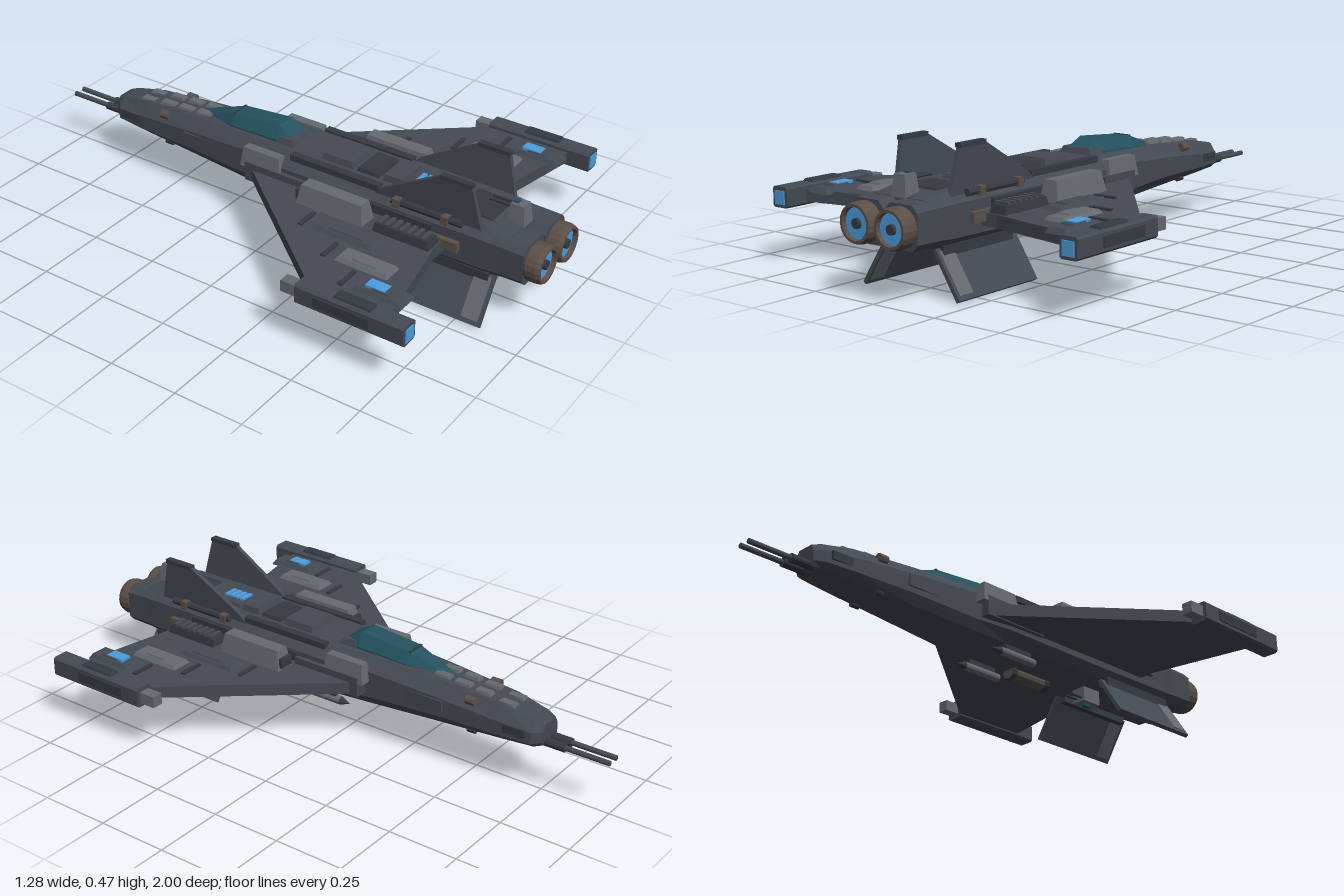
import * as THREE from 'three';

const mat = (color) => new THREE.MeshStandardMaterial({ color, flatShading: true });
const HULL = mat(0x444a53), DARK = mat(0x353a42), LIGHT = mat(0x656a70);
const GLASS = mat(0x24525f), GLOW = mat(0x4a9fe0), BROWN = mat(0x5b5048);

export function createModel() {
  const model = new THREE.Group();

  const add = (name, geo, m = HULL) => {
    const mesh = new THREE.Mesh(geo, m);
    mesh.name = name;
    model.add(mesh);
    return mesh;
  };
  // box given by its extents on each axis
  const box = (name, x0, x1, y0, y1, z0, z1, m) => {
    const mesh = add(name, new THREE.BoxGeometry(Math.abs(x1 - x0), y1 - y0, z1 - z0), m);
    mesh.position.set((x0 + x1) / 2, (y0 + y1) / 2, (z0 + z1) / 2);
    return mesh;
  };
  // cylinder along z
  const rod = (name, x, y, z0, z1, r0, r1 = r0, m = HULL, sides = 12) => {
    const geo = new THREE.CylinderGeometry(r1, r0, z1 - z0, sides).rotateX(Math.PI / 2);
    const mesh = add(name, geo, m);
    mesh.position.set(x, y, (z0 + z1) / 2);
    return mesh;
  };
  // plate with bevelled top edges: a loft through two inset levels
  const plate = (name, x0, x1, y0, y1, z0, z1, m, inset = 0.012) => {
    const geo = new THREE.BoxGeometry(Math.abs(x1 - x0), y1 - y0, z1 - z0);
    const p = geo.attributes.position;
    for (let i = 0; i < p.count; i++) {
      if (p.getY(i) < 0) continue;
      p.setX(i, p.getX(i) - Math.sign(p.getX(i)) * inset);
      p.setZ(i, p.getZ(i) - Math.sign(p.getZ(i)) * inset);
    }
    const mesh = add(name, geo, m);
    mesh.position.set((x0 + x1) / 2, (y0 + y1) / 2, (z0 + z1) / 2);
    return mesh;
  };
  // eight-sided loft; section = [z, halfWidth, bottom, top, bottomHalfWidth, topHalfWidth, lowY, highY]
  const loft = (name, sections, m, cx = 0) => {
    const pos = [], idx = [], n = 8;
    for (const [z, w, b, t, bw, tw, lo, hi] of sections) {
      const ring = [[-bw, b], [bw, b], [w, lo], [w, hi], [tw, t], [-tw, t], [-w, hi], [-w, lo]];
      for (const [x, y] of ring) pos.push(x + cx, y, z);
    }
    const last = (sections.length - 1) * n;
    for (let i = 0; i < last; i += n) {
      for (let j = 0; j < n; j++) {
        const k = (j + 1) % n;
        idx.push(i + j, i + k, i + n + k, i + j, i + n + k, i + n + j);
      }
    }
    for (let j = 1; j < n - 1; j++) idx.push(0, j + 1, j, last, last + j, last + j + 1);
    const geo = new THREE.BufferGeometry();
    geo.setAttribute('position', new THREE.Float32BufferAttribute(pos, 3));
    geo.setIndex(idx);
    const flat = geo.toNonIndexed();
    flat.computeVertexNormals();
    return add(name, flat, m);
  };
  const outline = (pts) => new THREE.Shape(pts.map(([a, b]) => new THREE.Vector2(a, b)));

  // fuselage from the nose back to the engine block
  loft('fuselage', [
    [-0.77, 0.045, 0.19, 0.265, 0.035, 0.03, 0.205, 0.24],
    [-0.74, 0.072, 0.182, 0.275, 0.05, 0.04, 0.2, 0.24],
    [-0.62, 0.084, 0.177, 0.298, 0.06, 0.05, 0.2, 0.25],
    [-0.38, 0.098, 0.168, 0.315, 0.075, 0.06, 0.2, 0.27],
    [-0.13, 0.112, 0.157, 0.325, 0.09, 0.075, 0.19, 0.285],
    [0.02, 0.135, 0.152, 0.328, 0.1, 0.09, 0.185, 0.285],
    [0.45, 0.14, 0.15, 0.328, 0.11, 0.105, 0.18, 0.29],
    [0.8, 0.138, 0.155, 0.325, 0.11, 0.105, 0.185, 0.29],
    [0.88, 0.135, 0.165, 0.312, 0.11, 0.105, 0.19, 0.285],
  ]);

  // canopy with its frame
  loft('canopy', [
    [-0.4, 0.018, 0.29, 0.312, 0.018, 0.012, 0.3, 0.308],
    [-0.24, 0.056, 0.3, 0.362, 0.056, 0.034, 0.31, 0.325],
    [-0.05, 0.062, 0.31, 0.378, 0.062, 0.036, 0.32, 0.335],
    [0.015, 0.052, 0.31, 0.345, 0.052, 0.04, 0.32, 0.33],
  ], GLASS);
  box('canopyFrame', -0.035, 0.035, 0.32, 0.364, -0.248, -0.24, DARK);
  plate('canopyBase', -0.07, 0.07, 0.315, 0.35, -0.05, 0.03, HULL);

  // dorsal spine
  plate('dorsalPanel', -0.068, 0.068, 0.32, 0.35, 0.14, 0.27, HULL, 0.008);
  plate('dorsalPanel', -0.066, 0.066, 0.32, 0.342, 0.28, 0.37, DARK, 0.006);
  plate('dorsalPanel', -0.066, 0.066, 0.32, 0.35, 0.38, 0.46, HULL, 0.006);
  plate('ventFrame', -0.06, 0.06, 0.32, 0.34, 0.47, 0.63, HULL, 0.006);
  for (let i = 0; i < 4; i++) {
    box('glowVent', -0.026, 0.026, 0.335, 0.347, 0.485 + i * 0.023, 0.5 + i * 0.023, GLOW);
  }
  plate('rearDeck', -0.075, 0.075, 0.31, 0.332, 0.66, 0.8, DARK, 0.008);

  // rear turret
  rod('turretBase', 0, 0.335, 0.84, 0.87, 0.025);
  plate('turret', -0.03, 0.03, 0.31, 0.38, 0.82, 0.885, LIGHT, 0.008);
  box('turretSight', -0.01, 0.01, 0.376, 0.386, 0.83, 0.85, GLASS);

  // belly turret and the offset tank
  box('bellyTurret', -0.028, 0.028, 0.097, 0.155, 0.48, 0.56, LIGHT);
  box('bellySensor', -0.01, 0.01, 0.088, 0.098, 0.5, 0.53, GLASS);
  rod('bellyTank', 0.055, 0.143, 0.18, 0.36, 0.025, 0.025, BROWN);
  for (const z of [0.18, 0.34]) rod('tankBand', 0.055, 0.143, z, z + 0.02, 0.028, 0.028, DARK);

  for (const s of [-1, 1]) {
    // nose guns
    rod('gunBarrel', s * 0.021, 0.198, -1, -0.75, 0.009);
    rod('gunSleeve', s * 0.021, 0.198, -0.84, -0.75, 0.015, 0.015, DARK);
    // nose panels and sensors
    for (const [z, y] of [[-0.66, 0.284], [-0.57, 0.296], [-0.49, 0.302], [-0.41, 0.307]]) {
      plate('nosePanel', s * 0.01, s * 0.046, y, y + 0.016, z, z + 0.065, LIGHT, 0.005);
    }
    rod('noseThruster', s * 0.076, 0.288, -0.535, -0.5, 0.016, 0.016, BROWN, 8);
    rod('lowerThruster', s * 0.06, 0.173, -0.53, -0.5, 0.012, 0.012, DARK, 8);
    box('noseSidePanel', s * 0.06, s * 0.082, 0.215, 0.245, -0.72, -0.64, DARK);
    box('noseSideStrip', s * 0.08, s * 0.104, 0.22, 0.262, -0.42, -0.2, HULL);

    // shoulders and flank panels
    plate('shoulder', s * 0.1, s * 0.152, 0.25, 0.32, -0.135, 0.03, LIGHT, 0.01);
    box('flankPanel', s * 0.12, s * 0.152, 0.2, 0.27, -0.115, 0.15, HULL);
    box('flankRail', s * 0.12, s * 0.15, 0.255, 0.285, 0.15, 0.62, DARK);
    box('flankPort', s * 0.13, s * 0.158, 0.222, 0.256, 0.62, 0.72, BROWN);
    box('spineRail', s * 0.09, s * 0.118, 0.315, 0.336, 0.05, 0.4, DARK);
    rod('finRod', s * 0.128, 0.315, 0.46, 0.72, 0.013, 0.013, DARK, 8);
    for (const z of [0.47, 0.65]) box('rodClamp', s * 0.108, s * 0.146, 0.3, 0.33, z, z + 0.025, BROWN);

    // wing
    const wing = new THREE.ExtrudeGeometry(
      outline([[s * 0.1, -0.13], [s * 0.15, -0.085], [s * 0.22, 0], [s * 0.58, 0.44], [s * 0.58, 0.74], [s * 0.2, 0.665], [s * 0.1, 0.665]]),
      { depth: 0.042, bevelEnabled: false });
    add('wing', wing.rotateX(Math.PI / 2).translate(0, 0.246, 0));

    // equipment on the wing
    plate('wingPod', s * 0.16, s * 0.236, 0.24, 0.315, 0.155, 0.415, LIGHT, 0.014);
    box('podIntake', s * 0.172, s * 0.224, 0.255, 0.29, 0.148, 0.16, DARK);
    plate('louverBase', s * 0.165, s * 0.232, 0.24, 0.275, 0.45, 0.66, DARK, 0.006);
    for (let i = 0; i < 7; i++) {
      box('louver', s * 0.172, s * 0.225, 0.27, 0.283, 0.465 + i * 0.027, 0.479 + i * 0.027, HULL);
    }
    [[0.295, 0.28, 0.52, HULL], [0.4, 0.44, 0.64, LIGHT], [0.498, 0.57, 0.75, HULL]].forEach(([x, z0, z1, m]) => {
      plate('wingPanel', s * (x - 0.042), s * (x + 0.042), 0.24, 0.259, z0, z1, m, 0.012);
      plate('panelCap', s * (x - 0.026), s * (x + 0.026), 0.255, 0.265, z0 + 0.06, z1 - 0.05, m, 0.004);
      box('wingStrip', s * (x - 0.042), s * (x + 0.042), 0.24, 0.253, z0 - 0.045, z0 - 0.03, DARK);
    });
    box('wingLight', s * 0.478, s * 0.518, 0.256, 0.268, 0.61, 0.68, GLOW);

    // wingtip pod
    loft('wingtipPod', [
      [0.43, 0.033, 0.192, 0.262, 0.026, 0.026, 0.199, 0.255],
      [0.82, 0.033, 0.192, 0.262, 0.026, 0.026, 0.199, 0.255],
    ], HULL, s * 0.602);
    box('wingtipNose', s * 0.582, s * 0.622, 0.207, 0.247, 0.37, 0.44, LIGHT);
    box('wingtipGlow', s * 0.58, s * 0.624, 0.203, 0.249, 0.815, 0.824, GLOW);
    plate('wingtipCap', s * 0.578, s * 0.626, 0.255, 0.27, 0.56, 0.7, DARK, 0.006);
    box('wingtipSide', s * 0.63, s * 0.639, 0.21, 0.245, 0.5, 0.7, DARK);

    // upper fin, leaning slightly outward
    const fin = new THREE.ExtrudeGeometry(
      outline([[0.38, -0.02], [0.42, 0.02], [0.635, 0.145], [0.745, 0.145], [0.785, -0.02]]),
      { depth: 0.016, bevelEnabled: false });
    const upperFin = add('upperFin', fin.rotateY(-Math.PI / 2).translate(0.008, 0, 0));
    upperFin.position.set(s * 0.112, 0.32, 0);
    upperFin.rotation.z = -s * 0.07;
    box('finTip', s * 0.11, s * 0.134, 0.456, 0.47, 0.632, 0.748, DARK);

    // lower fin, splayed outward
    const lowerFin = add('lowerFin', new THREE.BoxGeometry(0.014, 0.175, 0.365));
    lowerFin.position.set(s * 0.15, 0.08, 0.658);
    lowerFin.rotation.z = s * 0.571;
    const finEdge = add('lowerFinEdge', new THREE.BoxGeometry(0.018, 0.15, 0.06), LIGHT);
    finEdge.position.set(s * 0.149, 0.083, 0.8);
    finEdge.rotation.z = s * 0.571;
    box('lowerFinRoot', s * 0.085, s * 0.125, 0.13, 0.165, 0.5, 0.82, DARK);

    // missiles under the hull
    rod('missile', s * 0.088, 0.122, 0, 0.16, 0.015, 0.015, LIGHT);
    rod('missileTip', s * 0.088, 0.122, -0.035, 0, 0.001, 0.015, DARK);
    box('missilePylon', s * 0.08, s * 0.096, 0.13, 0.17, 0.02, 0.14, DARK);

    // turret guns
    rod('turretBarrel', s * 0.012, 0.365, 0.75, 0.83, 0.005, 0.005, DARK, 8);
    rod('bellyBarrel', s * 0.012, 0.112, 0.43, 0.49, 0.005, 0.005, DARK, 8);

    // engine housing, nozzle and exhaust
    loft('engineHousing', [
      [0.8, 0.066, 0.165, 0.312, 0.045, 0.045, 0.187, 0.29],
      [0.945, 0.066, 0.168, 0.308, 0.045, 0.045, 0.19, 0.286],
    ], HULL, s * 0.07);
    const bell = [[0.058, 0.93], [0.066, 0.95], [0.066, 0.985], [0.061, 1], [0.052, 1], [0.049, 0.975]];
    const nozzle = add('nozzle', new THREE.LatheGeometry(bell.map(([r, z]) => new THREE.Vector2(r, z)), 20).rotateX(Math.PI / 2), BROWN);
    nozzle.material = BROWN.clone();
    nozzle.material.side = THREE.DoubleSide;
    nozzle.position.set(s * 0.072, 0.238, 0);
    rod('exhaustGlow', s * 0.072, 0.238, 0.95, 0.985, 0.051, 0.051, GLOW, 20);
    rod('exhaustHub', s * 0.072, 0.238, 0.96, 0.996, 0.02, 0.016, DARK);
  }
  return model;
}
